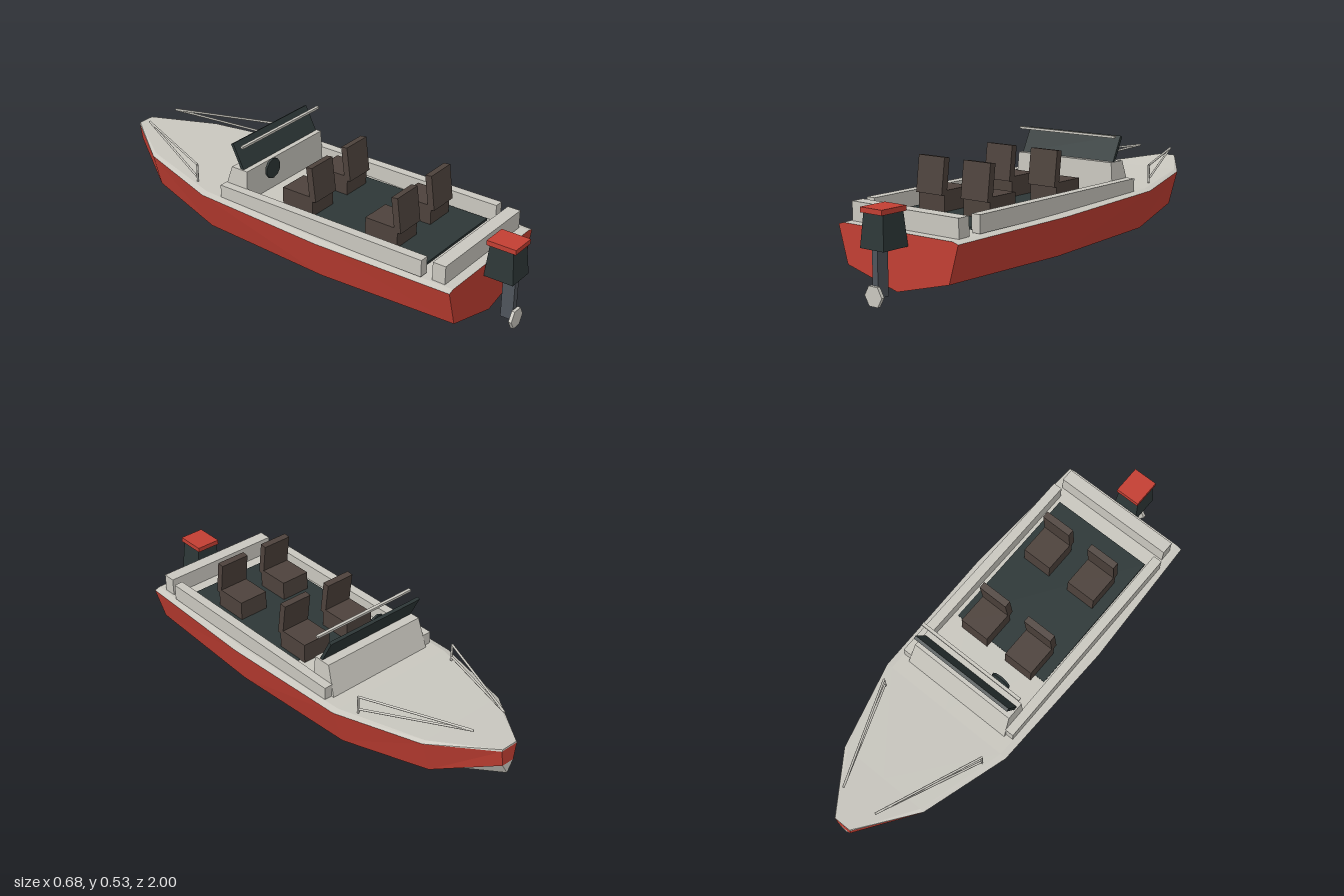
import * as THREE from 'three';

const mat = (name, color) => {
  const m = new THREE.MeshStandardMaterial({ color });
  m.name = name;
  return m;
};

export function createModel() {
  const boat = new THREE.Group();
  boat.name = 'motorboat';
  const red = mat('hull red', 0xc33f33);
  const light = mat('deck off-white', 0xc9c7bf);
  const dark = mat('dark slate', 0x2d3737);
  const brown = mat('seat brown', 0x4d423c);
  const steel = mat('leg grey', 0x4f545b);

  const add = (name, geo, material, x = 0, y = 0, z = 0, parent = boat) => {
    const m = new THREE.Mesh(geo, material);
    m.name = name;
    m.position.set(x, y, z);
    parent.add(m);
    return m;
  };
  // Box given by its limits on each axis
  const box = (name, material, x0, x1, y0, y1, z0, z1, parent = boat) =>
    add(name, new THREE.BoxGeometry(x1 - x0, y1 - y0, z1 - z0), material,
      (x0 + x1) / 2, (y0 + y1) / 2, (z0 + z1) / 2, parent);
  // Box whose upper face is scaled and shifted by a rule
  const taperedBox = (w, h, d, sx, z0, z1) => {
    const g = new THREE.BoxGeometry(w, h, d).toNonIndexed();
    const p = g.attributes.position;
    for (let i = 0; i < p.count; i++) {
      if (p.getY(i) < 0) continue;
      p.setX(i, p.getX(i) * sx);
      p.setZ(i, p.getZ(i) < 0 ? z0 : z1);
    }
    g.computeVertexNormals();
    return g;
  };
  const faces = (name, pts, material) => {
    const g = new THREE.BufferGeometry().setFromPoints(pts);
    g.computeVertexNormals();
    add(name, g, material);
  };
  const bar = (name, a, b, r) => {
    const dir = b.clone().sub(a);
    const m = add(name, new THREE.CylinderGeometry(r, r, dir.length(), 6), light);
    m.position.copy(a).add(b).multiplyScalar(0.5);
    m.quaternion.setFromUnitVectors(new THREE.Vector3(0, 1, 0), dir.normalize());
  };
  const V = (x, y, z) => new THREE.Vector3(x, y, z);

  // Hull stations, stern to bow: z, sheer x/y, chine x/y, keel y
  const stations = [
    [0.87, 0.312, 0.257, 0.266, 0.1, 0.031],
    [0.25, 0.338, 0.267, 0.293, 0.1, 0.018],
    [-0.36, 0.325, 0.283, 0.272, 0.113, 0.03],
    [-0.75, 0.215, 0.306, 0.172, 0.153, 0.064],
    [-1, 0.042, 0.328, 0.03, 0.252, 0.2],
  ].map(([z, sx, sy, cx, cy, ky]) => [
    V(0, sy + 0.008, z), V(sx * 0.915, sy + 0.008, z), V(sx, sy, z), V(cx, cy, z), V(0, ky, z),
  ]);
  const flip = (v) => V(-v.x, v.y, v.z);
  const strip = (name, row, material) => {
    const pts = [];
    for (let i = 0; i < stations.length - 1; i++) {
      const a = stations[i][row + 1], b = stations[i + 1][row + 1];
      const c = stations[i + 1][row], d = stations[i][row];
      pts.push(a, b, c, a, c, d, ...[a, c, b, a, d, c].map(flip));
    }
    faces(name, pts, material);
  };
  strip('deck', 0, light);
  strip('gunwale', 1, light);
  strip('hullSides', 2, red);
  strip('hullBottom', 3, light);

  // End faces
  const fan = (loop) => loop.slice(2).flatMap((p, i) => [loop[0], loop[i + 1], p]);
  const [, si, ss, sc, sk] = stations[0];
  faces('transom', fan([sk, sc, ss, si, flip(si), flip(ss), flip(sc)]), red);
  const [, bi, bs, bc, bk] = stations[4];
  faces('bowFace', fan([bc, flip(bc), flip(bs), bs]), red);
  faces('bowFoot', fan([bk, flip(bc), bc]), light);
  faces('bowLip', fan([bs, flip(bs), flip(bi), bi]), light);

  // Cockpit floor and raised coamings
  box('cockpitFloor', dark, -0.237, 0.237, 0.274, 0.284, 0, 0.7);
  for (const s of [-1, 1]) {
    const c = box('sideCoaming', light, 0.255, 0.296, 0.272, 0.345, -0.28, 0.73);
    c.position.x *= s;
  }
  box('sternCoaming', light, -0.278, 0.278, 0.262, 0.345, 0.77, 0.828);

  // Console, windshield, top bar and wheel
  add('console', taperedBox(0.524, 0.145, 0.13, 0.96, -0.02, 0.062), light, 0, 0.35, -0.232);
  const shield = add('windshield', new THREE.BoxGeometry(0.49, 0.12, 0.014), dark, 0, 0.472, -0.226);
  shield.rotation.x = -0.47;
  box('windshieldBar', light, -0.256, 0.256, 0.525, 0.535, -0.197, -0.183);
  const wheel = add('steeringWheel', new THREE.CylinderGeometry(0.045, 0.045, 0.01, 10), dark, -0.118, 0.397, -0.142);
  wheel.rotation.x = Math.PI / 2;

  // Four seats
  for (const x of [-0.119, 0.119]) {
    for (const z of [0.05, 0.47]) {
      const seat = new THREE.Group();
      seat.name = 'seat';
      seat.position.set(x, 0, z);
      boat.add(seat);
      box('cushion', brown, -0.069, 0.069, 0.28, 0.37, -0.08, 0.075, seat);
      const back = box('backrest', brown, -0.069, 0.069, 0.35, 0.502, 0.051, 0.081, seat);
      back.rotation.x = -0.13;
    }
  }

  // Bow rails
  for (const s of [-1, 1]) {
    const foot = V(0.263 * s, 0.3, -0.44);
    const top = V(0.263 * s, 0.379, -0.44);
    const tip = V(0.085 * s, 0.387, -0.89);
    bar('railPost', foot, top, 0.005);
    bar('upperRail', top, tip, 0.005);
    bar('lowerRail', V(0.263 * s, 0.318, -0.44), tip, 0.005);
  }

  // Outboard motor
  add('motorCowl', taperedBox(0.122, 0.137, 0.13, 0.84, -0.053, 0.053), dark, 0, 0.2855, 0.935);
  box('motorCap', red, -0.056, 0.056, 0.353, 0.374, 0.87, 1);
  box('motorLeg', steel, -0.014, 0.014, 0.03, 0.22, 0.93, 0.985);
  const prop = add('propeller', new THREE.CylinderGeometry(0.045, 0.045, 0.014, 6).toNonIndexed(), light, 0, 0.039, 0.991);
  prop.geometry.computeVertexNormals();
  prop.geometry.rotateY(Math.PI / 6);
  prop.geometry.rotateX(Math.PI / 2);

  return boat;
}
